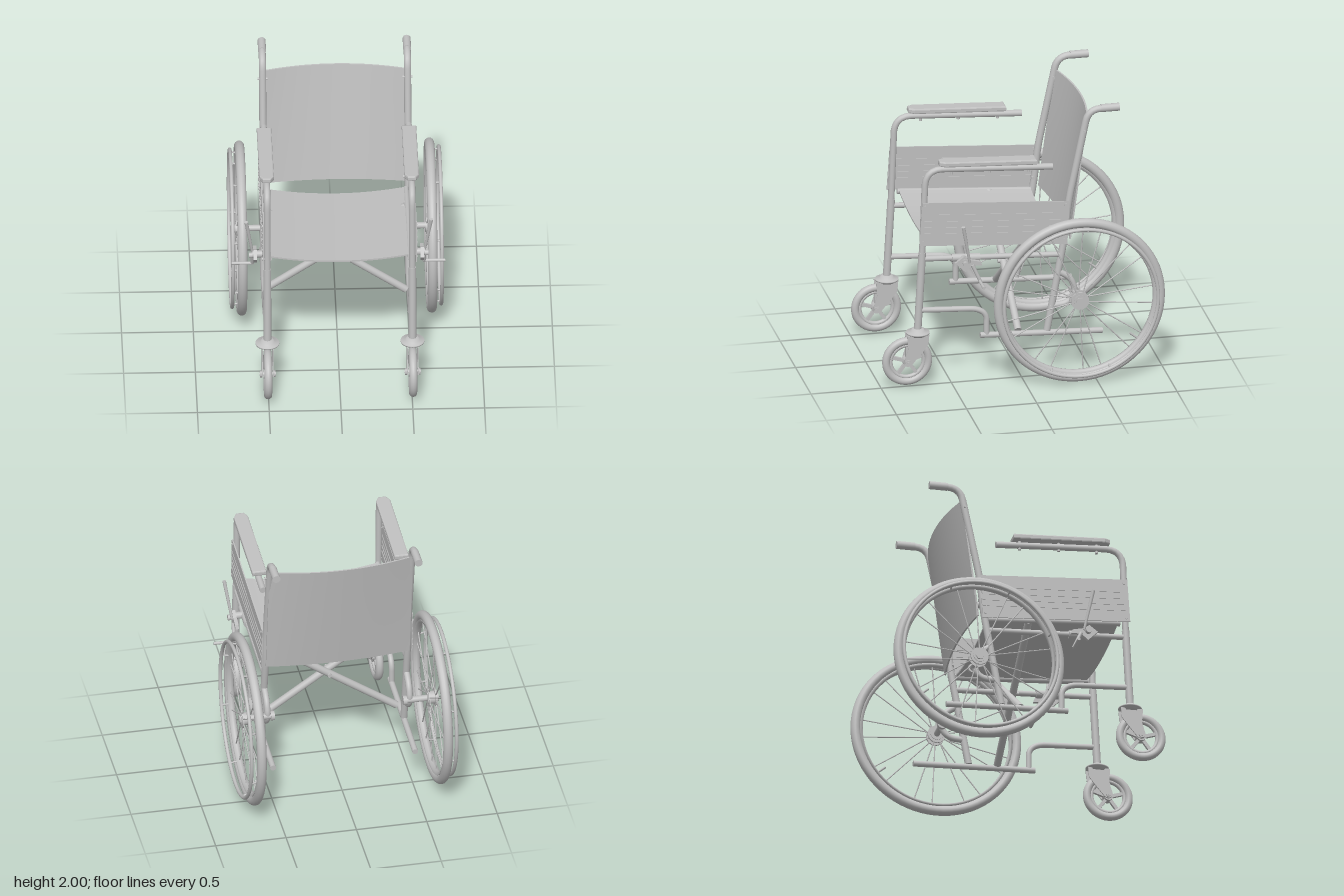
import * as THREE from 'three';

const V = (x, y, z) => new THREE.Vector3(x, y, z);

export function createModel() {
  const model = new THREE.Group();
  model.name = 'wheelchair';
  const grey = new THREE.MeshStandardMaterial({ color: 0xc0c0c0 });
  grey.name = 'plain grey';

  const add = (parent, name, geo, x = 0, y = 0, z = 0) => {
    const m = new THREE.Mesh(geo, grey);
    m.name = name;
    m.position.set(x, y, z);
    parent.add(m);
    return m;
  };

  // straight round bar between two points
  const bar = (parent, name, a, b, r, r2 = r, sides = 16) => {
    const m = add(parent, name, new THREE.CylinderGeometry(r2, r, a.distanceTo(b), sides));
    m.position.copy(a).add(b).multiplyScalar(0.5);
    m.quaternion.setFromUnitVectors(V(0, 1, 0), b.clone().sub(a).normalize());
    return m;
  };

  // bent pipe: straight runs joined by rounded corners, with closed ends
  const pipe = (parent, name, pts, r, bend = 0.1) => {
    const path = new THREE.CurvePath();
    let from = pts[0];
    for (let i = 1; i < pts.length - 1; i++) {
      const p = pts[i];
      const toward = q => p.clone().add(q.clone().sub(p).setLength(Math.min(bend, p.distanceTo(q) * 0.45)));
      const a = toward(pts[i - 1]), b = toward(pts[i + 1]);
      path.add(new THREE.LineCurve3(from, a));
      path.add(new THREE.QuadraticBezierCurve3(a, p, b));
      from = b;
    }
    path.add(new THREE.LineCurve3(from, pts[pts.length - 1]));
    add(parent, name, new THREE.TubeGeometry(path, 60, r, 14));
    [0, 1].forEach(t => {
      const cap = add(parent, name + 'End', new THREE.CircleGeometry(r, 14));
      cap.position.copy(path.getPointAt(t));
      cap.quaternion.setFromUnitVectors(V(0, 0, 1), path.getTangentAt(t).multiplyScalar(t ? 1 : -1));
    });
  };

  // ring lying in the yz plane
  const ring = (parent, name, R, r, x = 0, n = 72) => {
    const g = new THREE.TorusGeometry(R, r, 14, n);
    g.rotateY(Math.PI / 2);
    return add(parent, name, g, x);
  };

  // box whose vertices are moved by a rule
  const bentBox = (parent, name, size, segs, rule) => {
    const g = new THREE.BoxGeometry(...size, ...segs);
    const p = g.attributes.position;
    for (let i = 0; i < p.count; i++) p.setXYZ(i, ...rule(p.getX(i), p.getY(i), p.getZ(i)));
    g.computeVertexNormals();
    return add(parent, name, g);
  };

  const group = (name, x, y, z) => {
    const g = new THREE.Group();
    g.name = name;
    g.position.set(x, y, z);
    model.add(g);
    return g;
  };

  // flat outline in (z, y) extruded along x, centred on x
  const plate = (parent, name, pts, x, thick, holes = []) => {
    const shape = new THREE.Shape(pts.map(([z, y]) => new THREE.Vector2(-z, y)));
    shape.holes.push(...holes);
    const g = new THREE.ExtrudeGeometry(shape, { depth: thick, bevelEnabled: false, curveSegments: 24 });
    g.translate(0, 0, -thick / 2);
    g.rotateY(Math.PI / 2);
    return add(parent, name, g, x);
  };

  // slung seat, sloping down to the back
  bentBox(model, 'seat', [0.98, 0.012, 0.94], [20, 1, 2], (x, y, z) =>
    [x, y + 1.035 + z * 0.078 - 0.048 * (1 - (x / 0.49) ** 2), z + 0.19]);

  // back sheet, leaning and bowed to the rear
  bentBox(model, 'backrest', [1.02, 0.865, 0.012], [20, 4, 1], (x, y, z) => {
    const t = y / 0.865 + 0.5;
    return [x, y + 1.442, z - 0.345 - 0.115 * t - (0.04 + 0.035 * t) * (1 - (x / 0.51) ** 2)];
  });

  // folding cross brace
  [[1, 0.02], [-1, -0.035]].forEach(([s, z]) =>
    bar(model, 'crossBrace', V(-0.48 * s, 1.01, z), V(0.48 * s, 0.345, z), 0.026));
  bar(model, 'braceBolt', V(0, 0.677, 0.06), V(0, 0.677, -0.075), 0.014);

  [1, -1].forEach(s => {
    const side = s > 0 ? 'left' : 'right';
    const X = 0.505 * s;
    const frame = group(side + 'Frame', 0, 0, 0);

    // frame pipes
    pipe(frame, 'frontPostAndArm', [V(X, 0.41, 0.74), V(X, 1.0, 0.708), V(X, 1.62, 0.685), V(X, 1.565, -0.22)], 0.023, 0.13);
    bar(frame, 'frontPostSleeve', V(X, 0.43, 0.74), V(X, 1.0, 0.708), 0.027);
    pipe(frame, 'backPost', [V(X, 0.34, -0.18), V(X, 1.02, -0.305), V(X, 1.3, -0.335), V(X, 1.97, -0.475), V(X, 1.972, -0.69)], 0.025, 0.09);
    bar(frame, 'handleGrip', V(X, 1.972, -0.565), V(X, 1.972, -0.695), 0.028);
    pipe(frame, 'middleRail', [V(X, 0.95, 0.7), V(X, 0.9, -0.29)], 0.02);
    pipe(frame, 'seatRail', [V(0.49 * s, 1.06, 0.67), V(0.49 * s, 0.99, -0.28)], 0.02);
    pipe(frame, 'bottomRail', [V(X, 0.342, 0.295), V(X, 0.305, -0.575)], 0.021);
    pipe(frame, 'frontStay', [V(X, 0.567, 0.725), V(X, 0.54, 0.25), V(X, 0.34, 0.25)], 0.02, 0.13);
    pipe(frame, 'axleBracket', [V(X, 0.78, -0.25), V(X, 0.72, -0.35), V(X, 0.617, -0.385), V(X, 0.53, -0.33), V(X, 0.52, -0.2)], 0.022, 0.06);

    // side guard with raised seams and screws
    const gx = 0.532 * s;
    plate(frame, 'sideGuard', [[0.713, 1.38], [-0.335, 1.305], [-0.32, 0.985], [0.735, 1.06]], gx, 0.008);
    [1.285, 1.235, 1.19, 1.145].forEach(y =>
      plate(frame, 'guardSeam', [[0.7, y + 0.006], [-0.32, y - 0.062], [-0.32, y - 0.074], [0.7, y - 0.006]], gx, 0.016));
    [[0.69, 1.35], [0.705, 1.085], [-0.31, 1.28], [-0.3, 1.02]].forEach(([z, y]) =>
      bar(frame, 'guardScrew', V(gx - 0.01, y, z), V(gx + 0.01, y, z), 0.01));

    // arm pad with rounded front corners
    const pad = new THREE.Shape();
    pad.moveTo(-0.042, -0.34).lineTo(0.042, -0.34).lineTo(0.042, 0.3).lineTo(0.022, 0.335)
      .lineTo(-0.022, 0.335).lineTo(-0.042, 0.3);
    const padGeo = new THREE.ExtrudeGeometry(pad, { depth: 0.02, bevelThickness: 0.009, bevelSize: 0.009, bevelSegments: 2 });
    padGeo.rotateX(Math.PI / 2);
    const padMesh = add(frame, 'armPad', padGeo, X, 1.652, 0.247);
    padMesh.rotation.x = -0.053;
    [[0.5, 1.61], [0.23, 1.6], [-0.05, 1.582]].forEach(([z, y]) =>
      bar(frame, 'padBolt', V(X, y - 0.04, z), V(X, y + 0.05, z), 0.011));
    [1.08, 1.82].forEach(y =>
      bar(frame, 'backScrew', V(X - 0.035, y, -0.28 - 0.2 * (y - 1)), V(X + 0.035, y, -0.28 - 0.2 * (y - 1)), 0.009));

    // parking brake
    const brake = group(side + 'Brake', 0, 0, 0);
    bar(brake, 'brakeClamp', V(X, 0.94, 0.5), V(X, 0.93, 0.3), 0.028);
    bar(brake, 'brakeStem', V(X, 0.935, 0.42), V(0.6 * s, 0.935, 0.42), 0.025);
    plate(brake, 'brakePlate', [[0.49, 0.93], [0.43, 0.975], [0.38, 0.945], [0.31, 0.93], [0.3, 0.9], [0.37, 0.905], [0.42, 0.86], [0.44, 0.88]], 0.582 * s, 0.025);
    bar(brake, 'brakePivot', V(0.56 * s, 0.925, 0.42), V(0.625 * s, 0.925, 0.42), 0.02);
    bar(brake, 'brakeLever', V(0.6 * s, 0.93, 0.39), V(0.645 * s, 1.22, 0.445), 0.009, 0.013);
    bar(brake, 'brakeArm', V(0.595 * s, 0.91, 0.37), V(0.6 * s, 0.785, 0.315), 0.013);
    bar(brake, 'brakeShoe', V(0.59 * s, 0.79, 0.32), V(0.745 * s, 0.79, 0.32), 0.011);

    // large rear wheel
    const wheel = group(side + 'RearWheel', 0.662 * s, 0.611, -0.377);
    ring(wheel, 'tyre', 0.576, 0.034);
    const rimPts = [[0.545, -0.024], [0.527, -0.02], [0.522, 0], [0.527, 0.02], [0.545, 0.024], [0.545, -0.024]];
    const rim = new THREE.LatheGeometry(rimPts.map(p => new THREE.Vector2(...p)).reverse(), 72);
    rim.rotateZ(Math.PI / 2);
    add(wheel, 'rim', rim).material = grey;
    ring(wheel, 'handRim', 0.549, 0.013, 0.066 * s);
    for (let i = 0; i < 8; i++) {
      const a = (i + 0.5) * Math.PI / 4, c = Math.cos(a), n = Math.sin(a);
      bar(wheel, 'handRimPeg', V(0, 0.53 * c, 0.53 * n), V(0.066 * s, 0.545 * c, 0.545 * n), 0.007, 0.007, 8);
    }
    for (let i = 0; i < 18; i++) {
      const a = i * Math.PI / 9, b = a + (i % 2 ? 0.05 : -0.05);
      const x = (i % 2 ? 0.024 : -0.024);
      bar(wheel, 'spoke', V(x, 0.045 * Math.cos(a), 0.045 * Math.sin(a)),
        V(0, 0.527 * Math.cos(b), 0.527 * Math.sin(b)), 0.0045, 0.0045, 6);
    }
    bar(wheel, 'valve', V(0, -0.28, -0.36), V(0, -0.325, -0.415), 0.008, 0.008, 8);
    bar(wheel, 'hub', V(-0.035, 0, 0), V(0.035, 0, 0), 0.045, 0.045, 24);
    [-0.024, 0.024].forEach(x => bar(wheel, 'hubFlange', V(x - 0.006, 0, 0), V(x + 0.006, 0, 0), 0.064, 0.064, 28));
    bar(wheel, 'hubNut', V(0.03 * s, 0, 0), V(0.046 * s, 0, 0), 0.032, 0.032, 6);
    bar(wheel, 'axle', V(-0.2 * s, 0, 0), V(0, 0, 0), 0.022);
    bar(wheel, 'axleCap', V(-0.205 * s, 0, 0), V(-0.178 * s, 0, 0), 0.034);

    // front caster wheel
    const caster = group(side + 'Caster', X, 0.193, 0.816);
    ring(caster, 'casterTyre', 0.15, 0.028, 0, 48);
    ring(caster, 'casterRim', 0.118, 0.015, 0, 40);
    for (let i = 0; i < 5; i++) {
      const a = i * Math.PI * 0.4;
      const spoke = add(caster, 'casterSpoke', new THREE.BoxGeometry(0.022, 0.1, 0.024), 0, 0.068 * Math.cos(a), 0.068 * Math.sin(a));
      spoke.rotation.x = a;
    }
    bar(caster, 'casterHub', V(-0.03, 0, 0), V(0.03, 0, 0), 0.034, 0.034, 20);
    bar(caster, 'casterAxle', V(-0.058, 0, 0), V(0.058, 0, 0), 0.012);

    // caster fork
    [-1, 1].forEach(k => {
      plate(caster, 'forkBlade', [[0.008, 0.2], [-0.15, 0.2], [-0.143, 0.125], [-0.1, 0.07], [-0.03, -0.015], [0, -0.027], [0.025, -0.012], [0.024, 0.02], [0, 0.1]], 0.037 * k, 0.008);
      bar(caster, 'axleNut', V(0.04 * k, 0, 0), V(0.054 * k, 0, 0), 0.024, 0.024, 6);
    });
    const crown = [[0, 0.186], [0.055, 0.186], [0.062, 0.198], [0.083, 0.204], [0.083, 0.213], [0.05, 0.22], [0.038, 0.24], [0, 0.24]];
    add(caster, 'forkCrown', new THREE.LatheGeometry(crown.map(p => new THREE.Vector2(...p)), 32), 0, 0, -0.076);
  });

  return model;
}
